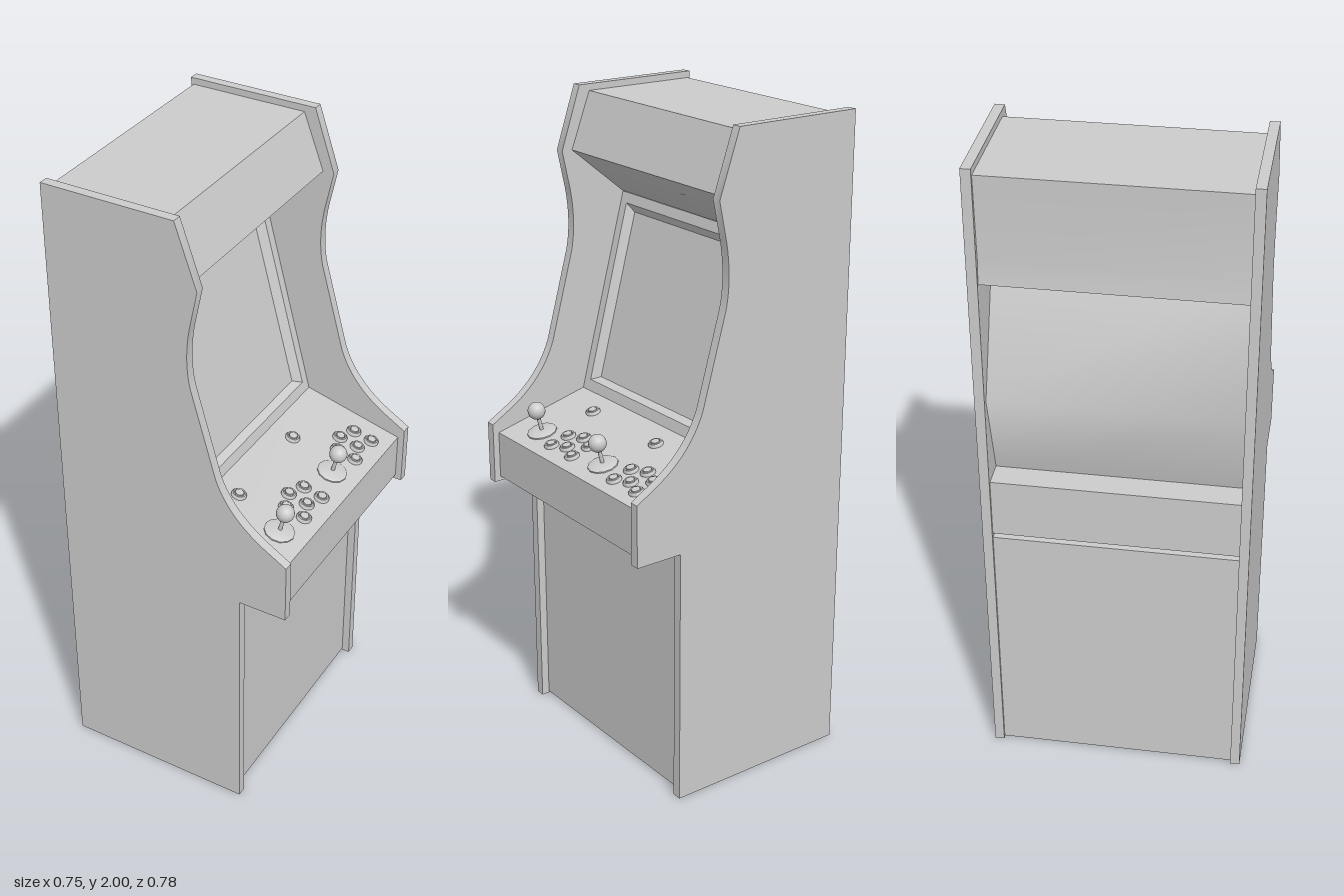
import * as THREE from 'three';
import { toCreasedNormals } from 'three/addons/utils/BufferGeometryUtils.js';

const material = new THREE.MeshStandardMaterial({ color: 0xcccccc });
const HALF = 0.363; // half of the width between the side panels
const SIDE = 0.029; // side panel thickness

function add(parent, name, geometry, x = 0, y = 0, z = 0) {
  const mesh = new THREE.Mesh(geometry, material);
  mesh.name = name;
  mesh.position.set(x, y, z);
  parent.add(mesh);
  return mesh;
}

// Extrudes an x-y profile along z, keeping only gentle bends smooth
function slab(shape, depth) {
  const geo = new THREE.ExtrudeGeometry(shape, { depth, bevelEnabled: false, curveSegments: 10 });
  return toCreasedNormals(geo, 0.7);
}

function block(parent, name, points) {
  const shape = new THREE.Shape(points.map(([x, y]) => new THREE.Vector2(x, y)));
  return add(parent, name, slab(shape, HALF * 2), 0, 0, -HALF);
}

function sideShape() {
  const s = new THREE.Shape();
  s.moveTo(-0.375, 0);
  s.lineTo(0.225, 0);
  s.lineTo(0.225, 0.81);
  s.lineTo(0.375, 0.81);
  s.lineTo(0.375, 1.0);
  s.lineTo(0.3, 1.045);
  s.quadraticCurveTo(0.19, 1.115, 0.15, 1.225);
  s.lineTo(0.074, 1.5);
  s.quadraticCurveTo(0.055, 1.585, 0.074, 1.69);
  s.lineTo(0.1, 1.81);
  s.lineTo(0.035, 2);
  s.lineTo(-0.375, 2);
  return s;
}

// Nested rectangles [halfWidth, bottom, top, depth] joined by quads, last one capped
function steppedFrame(rects) {
  const pos = [];
  const loops = rects.map(([w, b, t, d]) => [[-w, b, d], [w, b, d], [w, t, d], [-w, t, d]]);
  const quad = (a, b, c, d) => pos.push(...a, ...b, ...c, ...a, ...c, ...d);
  for (let i = 0; i < loops.length - 1; i++) {
    for (let k = 0; k < 4; k++) {
      const n = (k + 1) % 4;
      quad(loops[i][k], loops[i][n], loops[i + 1][n], loops[i + 1][k]);
    }
  }
  quad(...loops[loops.length - 1]);
  const geo = new THREE.BufferGeometry();
  geo.setAttribute('position', new THREE.Float32BufferAttribute(pos, 3));
  geo.computeVertexNormals();
  return geo;
}

function lathe(points, sides) {
  const geo = new THREE.LatheGeometry(points.map(([r, y]) => new THREE.Vector2(r, y)), sides);
  return toCreasedNormals(geo, 0.6);
}

export function createModel() {
  const model = new THREE.Group();
  model.name = 'arcadeCabinet';

  // Side panels
  const side = slab(sideShape(), SIDE);
  add(model, 'leftSidePanel', side, 0, 0, HALF);
  add(model, 'rightSidePanel', side, 0, 0, -HALF - SIDE);

  // Lower cabinet, control box and header, all between the sides
  block(model, 'lowerCabinet', [[-0.367, 0.006], [0.2, 0.006], [0.2, 0.81], [-0.367, 0.81]]);
  block(model, 'controlBox', [
    [-0.367, 0.825], [0.355, 0.825], [0.355, 0.97], [0.04, 1.05], [-0.05, 1.05], [-0.05, 1.01], [-0.367, 1.01],
  ]);
  block(model, 'header', [
    [-0.367, 1.98], [-0.36, 1.73], [-0.367, 1.66], [-0.12, 1.66], [0.065, 1.81], [0, 1.98],
  ]);

  // Monitor housing with its bulging back
  block(model, 'monitorHousing', [
    [0.01, 1.04], [-0.15, 1.66], [-0.205, 1.66], [-0.357, 1.28], [-0.284, 1.005], [0.0, 1.005],
  ]);

  // Leaning bezel with a sunken screen
  const tilt = Math.atan2(0.16, 0.61);
  const bezel = add(model, 'screenBezel', steppedFrame([
    [HALF, 0, 0.63, 0],
    [0.334, 0.034, 0.598, 0],
    [0.312, 0.05, 0.576, -0.022],
  ]), 0.04, 1.05, 0);
  bezel.rotation.set(0, Math.PI / 2, tilt, 'ZYX');

  // Sloping control deck: local x runs towards the player
  const slope = Math.atan2(0.08, 0.315);
  const deck = new THREE.Group();
  deck.name = 'controls';
  deck.position.set(0.04, 1.05, 0);
  deck.rotation.z = -slope;
  model.add(deck);
  const along = (x) => (x - 0.04) / Math.cos(slope);

  const buttonGeo = lathe([
    [0.023, -0.002], [0.023, 0.004], [0.019, 0.01], [0.015, 0.01], [0.014, 0.006],
    [0.0125, 0.006], [0.0125, 0.012], [0.01, 0.014], [0, 0.014],
  ], 20);
  const baseGeo = lathe([[0.046, -0.002], [0.046, 0.004], [0.04, 0.008], [0.008, 0.01], [0, 0.01]], 12);
  const stickGeo = new THREE.CylinderGeometry(0.006, 0.006, 0.07, 12);
  const ballGeo = new THREE.SphereGeometry(0.027, 20, 14);
  const buttons = [
    [0.24, -0.205], [0.3, -0.205], [0.22, -0.15], [0.28, -0.15], [0.24, -0.096], [0.3, -0.096], [0.113, -0.043],
  ];

  // One joystick and seven buttons per player
  for (const z of [0.245, -0.08]) {
    const x = along(0.272);
    add(deck, 'joystickBase', baseGeo, x, 0, z);
    add(deck, 'joystickShaft', stickGeo, x, 0.035, z);
    add(deck, 'joystickBall', ballGeo, x, 0.075, z);
    for (const [bx, bz] of buttons) add(deck, 'button', buttonGeo, along(bx), 0, z + bz);
  }
  return model;
}
